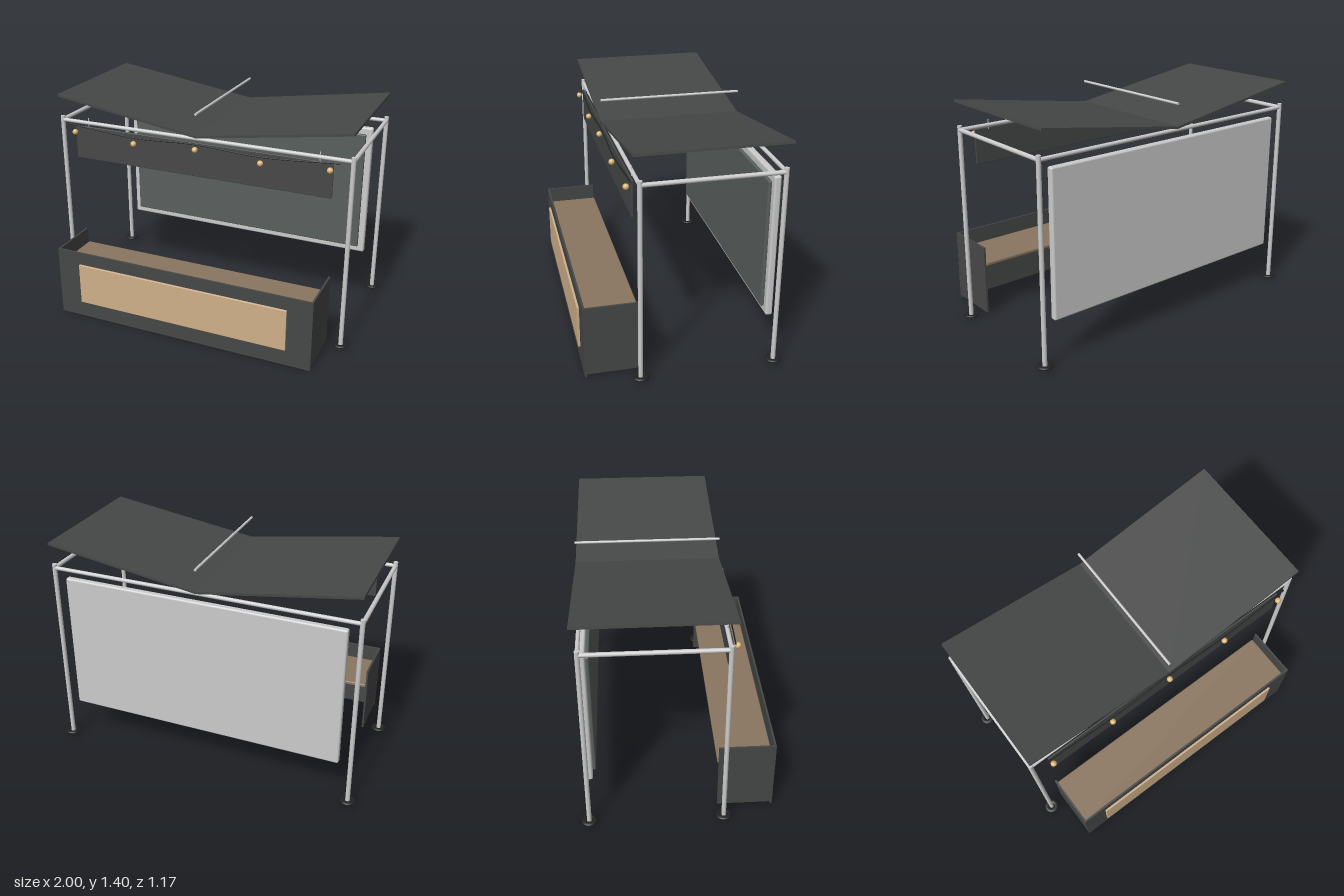
import * as THREE from 'three';
import { RoundedBoxGeometry } from 'three/addons/geometries/RoundedBoxGeometry.js';

const mat = (color) => new THREE.MeshStandardMaterial({ color });
const METAL = mat(0xcccccc);
const DARK = mat(0x464847);
const BLACK = mat(0x222222);
const PANEL = mat(0x5a605e);
const WOOD = mat(0xd0b08a);
const SHELF = mat(0x8a7660);
const AMBER = mat(0xe0b878);

export function createModel() {
  const model = new THREE.Group();
  model.name = 'marketStall';

  const add = (name, geometry, material, x = 0, y = 0, z = 0) => {
    const mesh = new THREE.Mesh(geometry, material);
    mesh.name = name;
    mesh.position.set(x, y, z);
    model.add(mesh);
    return mesh;
  };

  // Box given by its min and max corners, optionally with rounded edges
  const block = (name, material, [x0, y0, z0], [x1, y1, z1], radius = 0) => {
    const size = [x1 - x0, y1 - y0, z1 - z0];
    const geometry = radius
      ? new RoundedBoxGeometry(...size, 3, radius)
      : new THREE.BoxGeometry(...size);
    return add(name, geometry, material, (x0 + x1) / 2, (y0 + y1) / 2, (z0 + z1) / 2);
  };

  // Straight round bar between two points
  const bar = (name, material, from, to, radius) => {
    const a = new THREE.Vector3(...from);
    const b = new THREE.Vector3(...to);
    const dir = b.clone().sub(a);
    const mesh = add(name, new THREE.CylinderGeometry(radius, radius, dir.length(), 20), material);
    mesh.position.copy(a).add(b).multiplyScalar(0.5);
    mesh.quaternion.setFromUnitVectors(new THREE.Vector3(0, 1, 0), dir.normalize());
    return mesh;
  };

  const PX = 0.953, ZF = 0.265, ZB = -0.54, RAIL_Y = 1.225;

  // Posts with flattened ring feet
  for (const x of [-PX, PX]) {
    for (const z of [ZF, ZB]) {
      bar('post', METAL, [x, 0.018, z], [x, 1.25, z], 0.014);
      const foot = add('foot', new THREE.TorusGeometry(0.031, 0.016, 12, 32).rotateX(Math.PI / 2), BLACK, x, 0.026, z);
      foot.scale.y = 0.53;
    }
    bar('sideRail', METAL, [x, RAIL_Y, ZF], [x, RAIL_Y, ZB], 0.013);
  }
  for (const z of [ZF, ZB]) {
    bar(z > 0 ? 'frontRail' : 'backRail', METAL, [-PX, RAIL_Y, z], [PX, RAIL_Y, z], 0.012);
  }

  // V-shaped roof and the bar above its valley
  const rise = 0.145, run = 0.957, slope = Math.atan2(rise, run);
  for (const side of [-1, 1]) {
    const roof = add('roofPanel', new THREE.BoxGeometry(Math.hypot(run, rise), 0.015, 0.88),
      DARK, side * run / 2, 1.248 + rise / 2, -0.137);
    roof.rotation.z = side * slope;
  }
  bar('ridgeBar', METAL, [0, 1.388, 0.3], [0, 1.388, -0.575], 0.008);

  // Back wall
  block('backWall', METAL, [-0.88, 0.28, -0.548], [0.88, 1.17, -0.506], 0.012);
  block('backWallLining', PANEL, [-0.84, 0.323, -0.51], [0.84, 1.127, -0.487], 0.007);

  // Hanging front banner with two hooks on the rail
  block('banner', DARK, [-0.846, 0.99, 0.277], [0.846, 1.207, 0.288], 0.004);
  for (const x of [-0.76, 0.76]) {
    bar('bannerHook', METAL, [x, 1.2, 0.268], [x, 1.258, 0.268], 0.003);
  }

  // Light string
  const cablePoints = [[-0.89, 1.213, 0.295], [-0.42, 1.185, 0.305], [0, 1.2, 0.301],
    [0.42, 1.185, 0.305], [0.89, 1.213, 0.295]].map((p) => new THREE.Vector3(...p));
  add('lightCable', new THREE.TubeGeometry(new THREE.CatmullRomCurve3(cablePoints), 64, 0.004, 8), BLACK);
  [-0.834, -0.417, 0, 0.417, 0.834].forEach((x, i) => {
    add('bulb', new THREE.SphereGeometry(0.018, 20, 14), AMBER, x, i % 2 ? 1.15 : 1.172, 0.315);
  });

  // Counter: front board, two sides, inner shelf, open back and bottom
  block('counterFront', DARK, [-0.856, 0, 0.562], [0.856, 0.46, 0.574]);
  for (const side of [-1, 1]) {
    const x = side * 0.849;
    block('counterSide', DARK, [x - 0.006, 0.017, 0.236], [x + 0.006, 0.46, 0.563]);
  }
  block('counterShelf', SHELF, [-0.844, 0.335, 0.229], [0.844, 0.36, 0.563], 0.008);
  block('counterInset', WOOD, [-0.7, 0.107, 0.572], [0.7, 0.378, 0.587], 0.003);

  return model;
}
